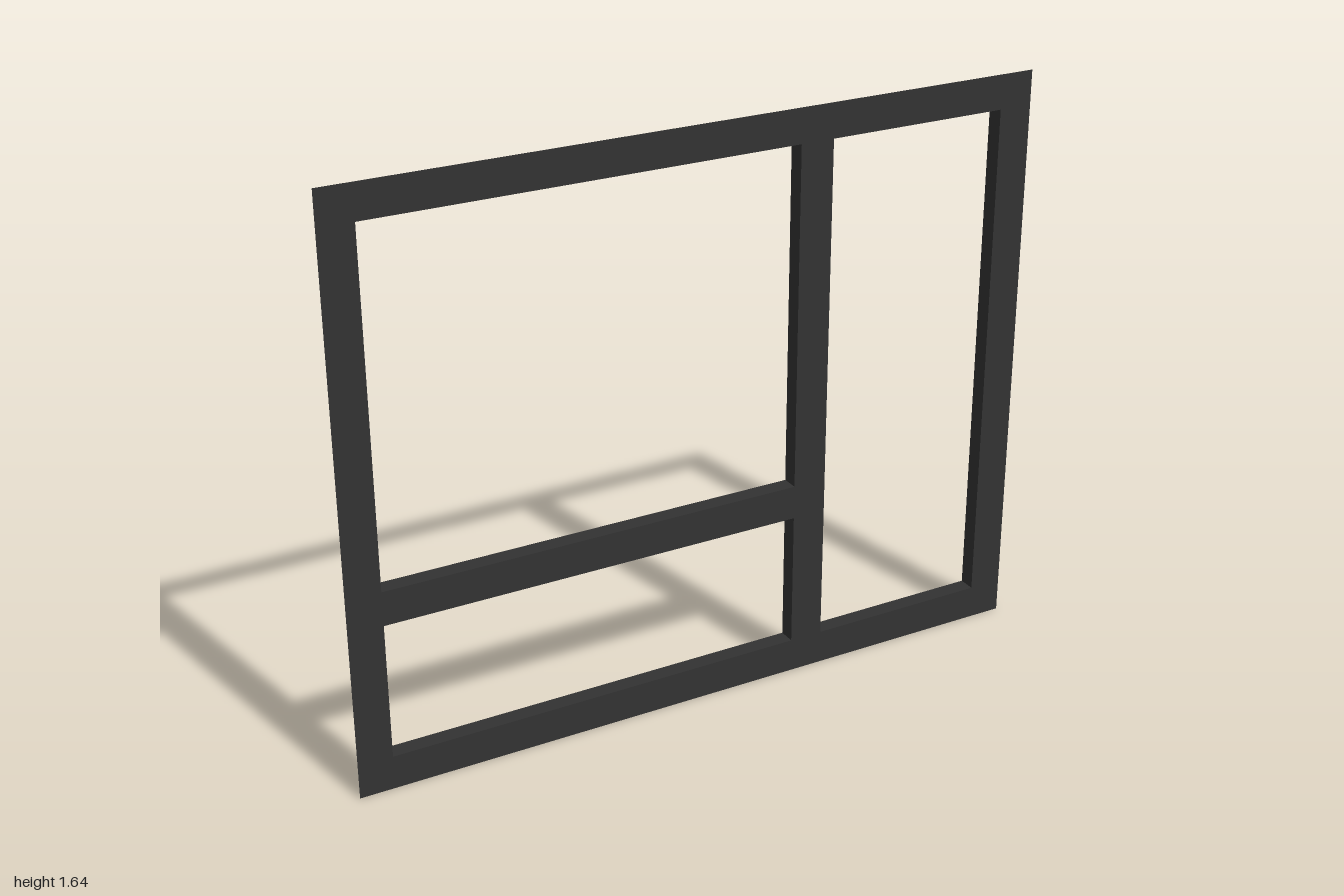
import * as THREE from 'three';

const HEIGHT = 1.637, HALF = 0.024; // overall height, half the depth

// Openings as [left, bottom, right, top]
const PANES = [
  [-0.904, 0.577, 0.287, 1.541],
  [-0.904, 0.096, 0.287, 0.481],
  [0.383, 0.096, 0.904, 1.541],
];

function rectangle(Type, [l, b, r, t]) {
  const p = new Type();
  p.moveTo(l, b);
  p.lineTo(r, b);
  p.lineTo(r, t);
  p.lineTo(l, t);
  p.closePath();
  return p;
}

export function createModel() {
  const group = new THREE.Group();
  const frameMaterial = new THREE.MeshStandardMaterial({ color: 0x333333, side: THREE.DoubleSide });
  frameMaterial.name = 'charcoal';

  function add(name, geometry, x, y, z, rx = 0, ry = 0) {
    const mesh = new THREE.Mesh(geometry, frameMaterial);
    mesh.name = name;
    mesh.position.set(x, y, z);
    mesh.rotation.set(rx, ry, 0);
    group.add(mesh);
  }

  // Front face of the whole frame, with an opening for each pane
  const face = rectangle(THREE.Shape, [-1, 0, 1, HEIGHT]);
  for (const pane of PANES) face.holes.push(rectangle(THREE.Path, pane));
  add('frameFace', new THREE.ShapeGeometry(face), 0, 0, HALF);

  // Reveals lining each opening, facing into it
  for (const [l, b, r, t] of PANES) {
    const w = r - l, h = t - b, cx = (l + r) / 2, cy = (b + t) / 2;
    const side = new THREE.PlaneGeometry(2 * HALF, h);
    const sill = new THREE.PlaneGeometry(w, 2 * HALF);
    add('revealRight', side, l, cy, 0, 0, Math.PI / 2);
    add('revealLeft', side, r, cy, 0, 0, -Math.PI / 2);
    add('revealBottom', sill, cx, b, 0, -Math.PI / 2);
    add('revealTop', sill, cx, t, 0, Math.PI / 2);
  }

  // Back plates closing the two inner bars; the outer frame is open behind
  const backPlate = (name, l, b, r, t) =>
    add(name, new THREE.PlaneGeometry(r - l, t - b), (l + r) / 2, (b + t) / 2, -HALF, 0, Math.PI);
  backPlate('mullionBack', 0.287, 0.096, 0.383, 1.541);
  backPlate('transomBack', -0.904, 0.481, 0.287, 0.577);

  return group;
}
